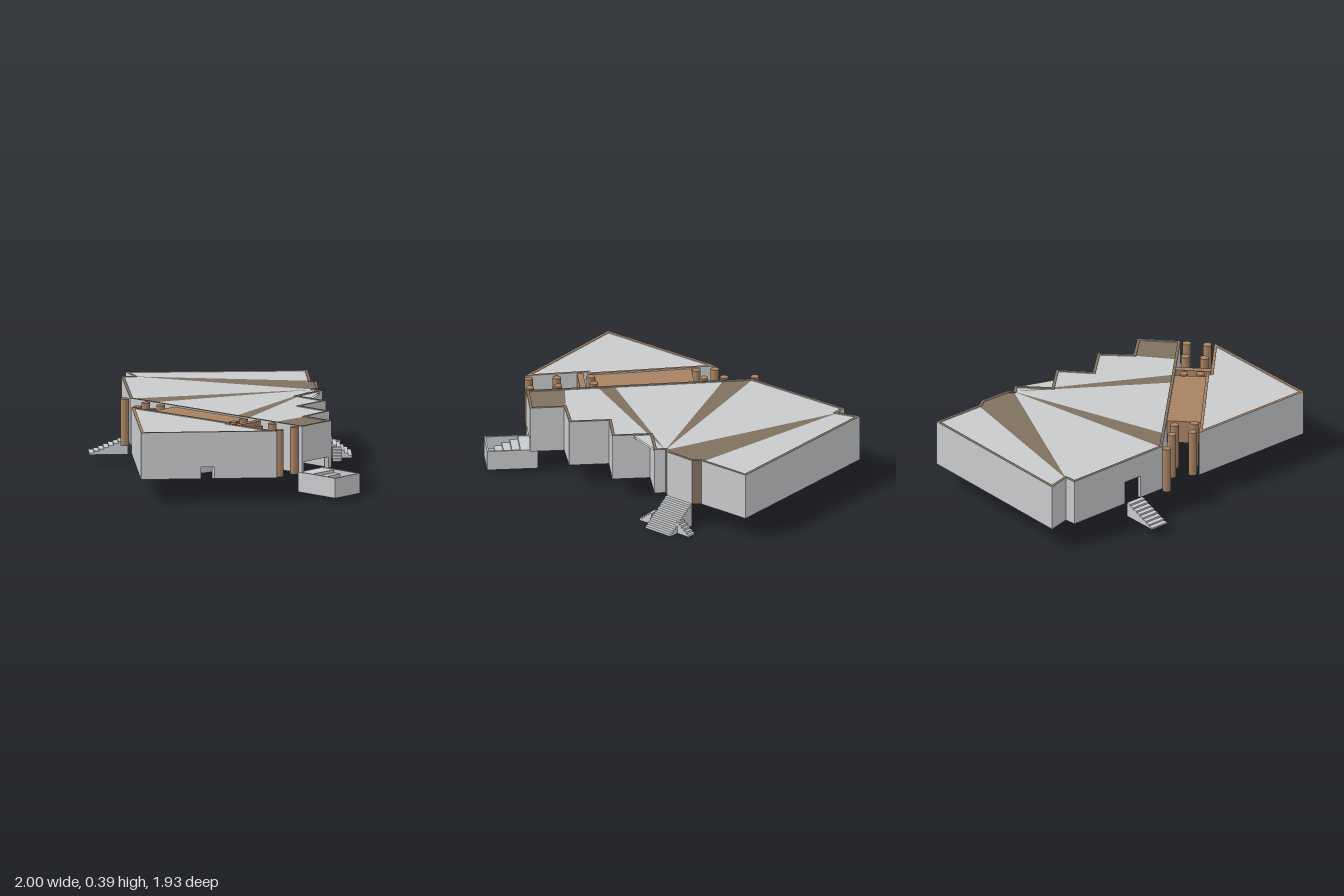
import * as THREE from 'three';

const BASE = 0.13, TOP = 0.387, T = 0.016;
const mat = (name, color) => {
  const m = new THREE.MeshStandardMaterial({ color, side: THREE.DoubleSide });
  m.name = name;
  return m;
};

export function createModel() {
  const root = new THREE.Group();
  root.name = 'building';
  const grey = mat('lightGrey', 0xc8cacc);
  const brown = mat('darkBrown', 0x7f715e);
  const tan = mat('tanBrown', 0xa88263);

  const add = (parent, name, geo, material) => {
    const m = new THREE.Mesh(geo, material);
    m.name = name;
    parent.add(m);
    return m;
  };
  const group = (name) => {
    const g = new THREE.Group();
    g.name = name;
    root.add(g);
    return g;
  };
  // Upright prism over a floor-plan polygon of [x, z] points
  const prism = (parent, name, pts, y0, y1, material) => {
    const shape = new THREE.Shape(pts.map(([x, z]) => new THREE.Vector2(x, -z)));
    const geo = new THREE.ExtrudeGeometry(shape, { depth: y1 - y0, bevelEnabled: false });
    geo.rotateX(-Math.PI / 2).translate(0, y0, 0);
    return add(parent, name, geo, material);
  };
  const box = (parent, name, [x0, x1], [y0, y1], [z0, z1], material) => {
    const geo = new THREE.BoxGeometry(x1 - x0, y1 - y0, z1 - z0);
    geo.translate((x0 + x1) / 2, (y0 + y1) / 2, (z0 + z1) / 2);
    return add(parent, name, geo, material);
  };

  // Plan outline moved inward by t, with mitred corners
  const inset = (pts, t) => pts.map((p, i) => {
    const n = pts.length, a = pts[(i + n - 1) % n], b = pts[(i + 1) % n];
    const normal = (s, e) => new THREE.Vector2(s[1] - e[1], e[0] - s[0]).normalize();
    const n1 = normal(a, p), n2 = normal(p, b);
    const k = t / Math.max(0.3, 1 + n1.dot(n2));
    return [p[0] + (n1.x + n2.x) * k, p[1] + (n1.y + n2.y) * k];
  });
  const mix = (a, b, t) => [a[0] + (b[0] - a[0]) * t, a[1] + (b[1] - a[1]) * t];

  // One wall per outline edge; doors = { edge: [start, end, head height] }
  const walls = (parent, pts, rim, doors = {}, dark = []) => {
    const inner = inset(pts, T);
    pts.forEach((a, i) => {
      const j = (i + 1) % pts.length;
      const piece = (s, e, y0) => prism(parent, 'wall', [
        mix(a, pts[j], s), mix(a, pts[j], e), mix(inner[i], inner[j], e), mix(inner[i], inner[j], s),
      ], y0, TOP, [rim, dark.includes(i) ? brown : grey]);
      const door = doors[i];
      if (!door) return piece(0, 1, BASE);
      piece(0, door[0], BASE);
      piece(door[0], door[1], door[2]);
      piece(door[1], 1, BASE);
    });
  };

  // Main hall walls
  const hub = [0.09, -0.595], west = [-0.88, -0.2];
  const hall = group('mainHall');
  walls(hall, [
    [-0.995, -0.262], [-0.31, -0.968], [-0.09, -0.76], [-0.04, -0.755], [0.085, -0.63], hub,
    [0.15, -0.595], [0.155, -0.395], [0.36, -0.395], [0.36, -0.195], [0.575, -0.195], [0.585, 0],
    [0.77, 0], [0.77, 0.235], [-0.46, 0.275], [-0.92, -0.15], west,
  ], brown, { 12: [0.1, 0.93, 0.19], 14: [0.25, 0.424, 0.26] }, [2, 4]);

  // Roof panels and the dark wedges fanning out between them
  const panels = [
    [grey, [[-0.985, -0.262], [-0.31, -0.958], [-0.1, -0.76], west]],
    [brown, [west, [-0.1, -0.76], [-0.045, -0.75], [0.08, -0.627], hub]],
    [grey, [west, hub, [-0.46, 0.268], [-0.912, -0.15]]],
    [brown, [hub, [-0.3, 0.263], [-0.46, 0.268]]],
    [grey, [hub, [0.29, 0.244], [-0.3, 0.263]]],
    [brown, [hub, [0.38, 0.241], [0.29, 0.244]]],
    [grey, [hub, [0.143, -0.59], [0.148, -0.388], [0.353, -0.388], [0.353, -0.188],
      [0.568, -0.188], [0.575, 0.005], [0.56, 0.235], [0.38, 0.241]]],
    [brown, [[0.575, 0.005], [0.765, 0.005], [0.765, 0.23], [0.56, 0.235]]],
  ];
  for (const [m, pts] of panels) {
    prism(hall, m === grey ? 'roofPanel' : 'roofWedge', pts, TOP - 0.015, TOP - 0.004, m);
  }

  // Triangular front wing
  const wing = group('frontWing');
  const plan = [[-0.28, 0.455], [0.41, 0.415], [0.418, 0.438], [0.76, 0.42], [0.26, 0.96]];
  walls(wing, plan, tan, { 3: [0.46, 0.56, 0.195] });
  prism(wing, 'wingRoof', inset(plan, 0.006), TOP - 0.015, TOP - 0.004, grey);
  prism(wing, 'partition', [[0.41, 0.43], [0.42, 0.43], [0.29, 0.92], [0.28, 0.92]], BASE, TOP - 0.01, grey);

  // Covered bridge and open frame between hall and wing
  const link = group('bridge');
  prism(link, 'bridgeBody', [[-0.145, 0.26], [0.385, 0.243], [0.385, 0.42], [-0.145, 0.45]], 0.25, TOP - 0.008, tan);
  box(link, 'bridgeWindow', [0.385, 0.389], [0.27, 0.33], [0.325, 0.375], grey);
  const fx = [0.443, 0.476];
  box(link, 'frameTop', fx, [0.33, TOP - 0.006], [0.24, 0.435], tan);
  box(link, 'frameBottom', fx, [0.25, 0.27], [0.24, 0.435], tan);
  box(link, 'frameBackPost', fx, [0.27, 0.33], [0.24, 0.325], tan);
  box(link, 'frameFrontPost', fx, [0.27, 0.33], [0.375, 0.435], tan);

  // Round columns
  const columns = group('columns');
  for (const [x, z] of [
    [-0.475, 0.302], [-0.31, 0.31], [-0.2, 0.312], [-0.27, 0.418], [-0.168, 0.416], [0.397, 0.295],
    [0.405, 0.383], [0.593, 0.28], [0.59, 0.383], [0.746, 0.27], [0.743, 0.383],
  ]) {
    add(columns, 'column', new THREE.CylinderGeometry(0.023, 0.023, TOP - BASE, 16), tan)
      .position.set(x, (TOP + BASE) / 2, z);
  }

  // Solid flight of steps going down from (x, z) along (dx, dz)
  const stairs = (name, x, z, dx, dz, width, length, y0, y1, n) => {
    const g = group(name);
    g.position.set(x, 0, z);
    g.rotation.y = Math.atan2(dx, dz);
    for (let i = 0; i < n; i++) {
      const top = y1 - (y1 - y0) * (i / n);
      box(g, 'step', [-width / 2, width / 2], [y0, top], [i * length / n, (i + 1) * length / n], grey);
    }
  };
  stairs('sideStairs', -0.605, 0.14, -0.68, 0.735, 0.108, 0.21, 0.05, BASE, 8);
  stairs('rearStairs', 0.022, -0.692, 1, -1, 0.177, 0.183, 0, BASE, 9);
  for (const s of [-1, 1]) {
    stairs('rearSideStairs', 0.096 + s * 0.0625, -0.76 + s * 0.0625, s, s, 0.05, 0.085, 0, 0.065, 5);
  }

  // Walled entrance steps on the left end
  const porch = group('endSteps');
  box(porch, 'porchFloor', [0.725, 1], [0.02, 0.035], [0.02, 0.218], grey);
  box(porch, 'porchBackWall', [0.725, 1], [0.035, BASE], [0.02, 0.03], grey);
  box(porch, 'porchFrontWall', [0.725, 1], [0.035, BASE], [0.208, 0.218], grey);
  box(porch, 'porchEndWall', [0.99, 1], [0.035, BASE], [0.03, 0.208], grey);
  for (let i = 0; i < 5; i++) {
    box(porch, 'porchStep', [i ? 0.775 + i * 0.043 : 0.725, 0.818 + i * 0.043],
      [0.035, BASE - 0.003 - i * 0.017], [0.03, 0.208], grey);
  }
  return root;
}
